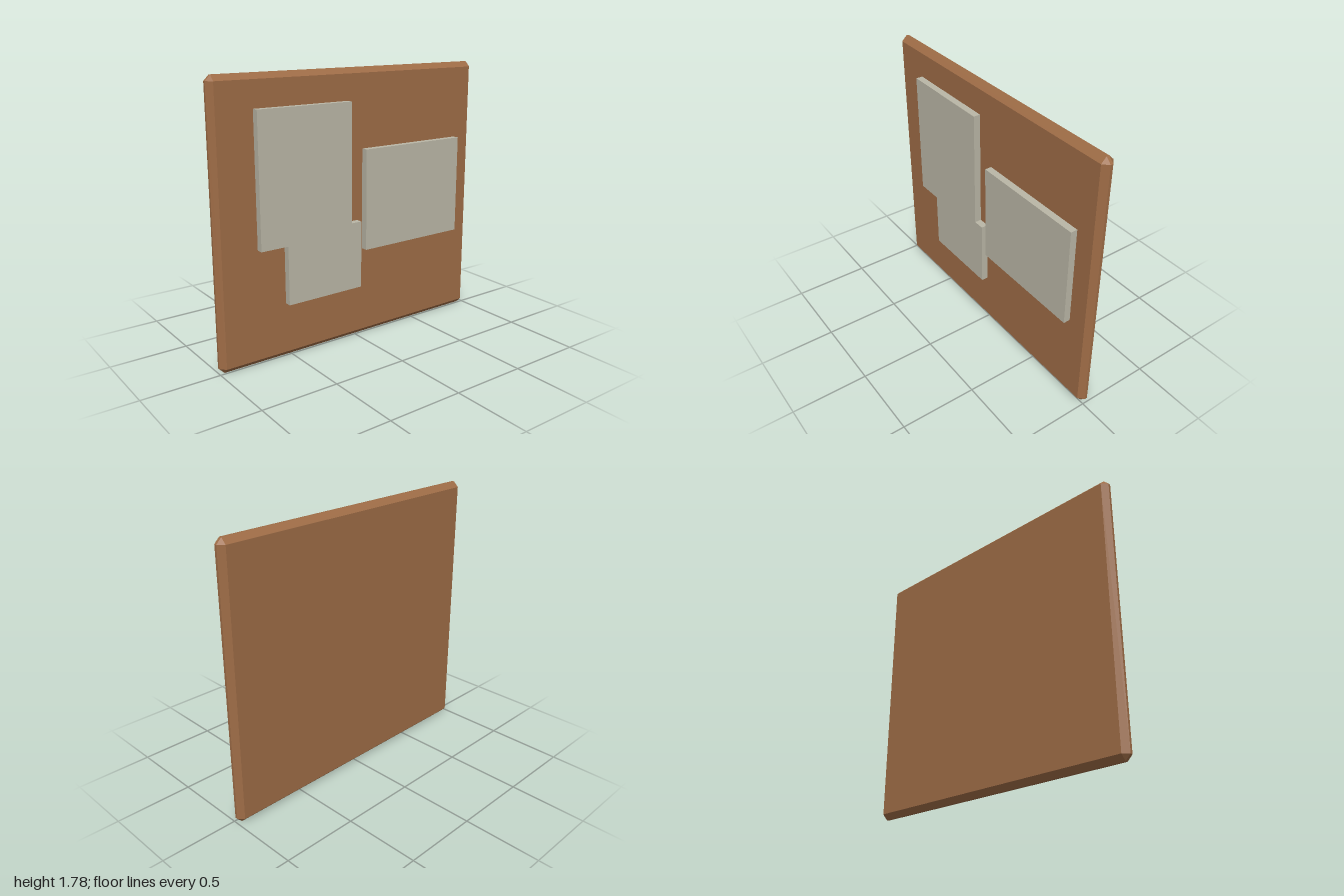
import * as THREE from 'three';
import { ConvexGeometry } from 'three/addons/geometries/ConvexGeometry.js';

const wood = new THREE.MeshStandardMaterial({ color: 0x9e6c46 });
wood.name = 'brown wood';
const paper = new THREE.MeshStandardMaterial({ color: 0xbab6a6 });
paper.name = 'grey paper';

// Box with every edge and corner chamfered by c
function chamferedBox(w, h, d, c) {
  const points = [];
  for (const x of [-w / 2, w / 2])
    for (const y of [-h / 2, h / 2])
      for (const z of [-d / 2, d / 2]) {
        const ix = x - Math.sign(x) * c;
        const iy = y - Math.sign(y) * c;
        const iz = z - Math.sign(z) * c;
        points.push(
          new THREE.Vector3(x, iy, iz),
          new THREE.Vector3(ix, y, iz),
          new THREE.Vector3(ix, iy, z)
        );
      }
  return new ConvexGeometry(points);
}

export function createModel() {
  const model = new THREE.Group();
  model.name = 'noticeBoard';
  const boardFront = 0.02, noteFront = 0.065, boardBack = -0.065;

  // Backing board
  const depth = boardFront - boardBack;
  const board = new THREE.Mesh(chamferedBox(2, 1.78, depth, 0.034), wood);
  board.name = 'board';
  board.position.set(0, 0.89, (boardFront + boardBack) / 2);
  model.add(board);

  // Raised notes: stepped sheet on one side, plain sheet on the other
  const notes = {
    steppedNote: [
      [-0.73, 0.74], [-0.545, 0.74], [-0.545, 0.36], [0.005, 0.36],
      [0.005, 0.805], [-0.07, 0.805], [-0.07, 1.58], [-0.73, 1.58],
    ],
    plainNote: [[0.045, 0.605], [0.84, 0.605], [0.84, 1.27], [0.045, 1.27]],
  };
  for (const [name, outline] of Object.entries(notes)) {
    const shape = new THREE.Shape(outline.map(([x, y]) => new THREE.Vector2(x, y)));
    const geometry = new THREE.ExtrudeGeometry(shape, {
      depth: noteFront - boardFront,
      bevelEnabled: false,
    });
    const note = new THREE.Mesh(geometry, paper);
    note.name = name;
    note.position.z = boardFront;
    model.add(note);
  }
  return model;
}
